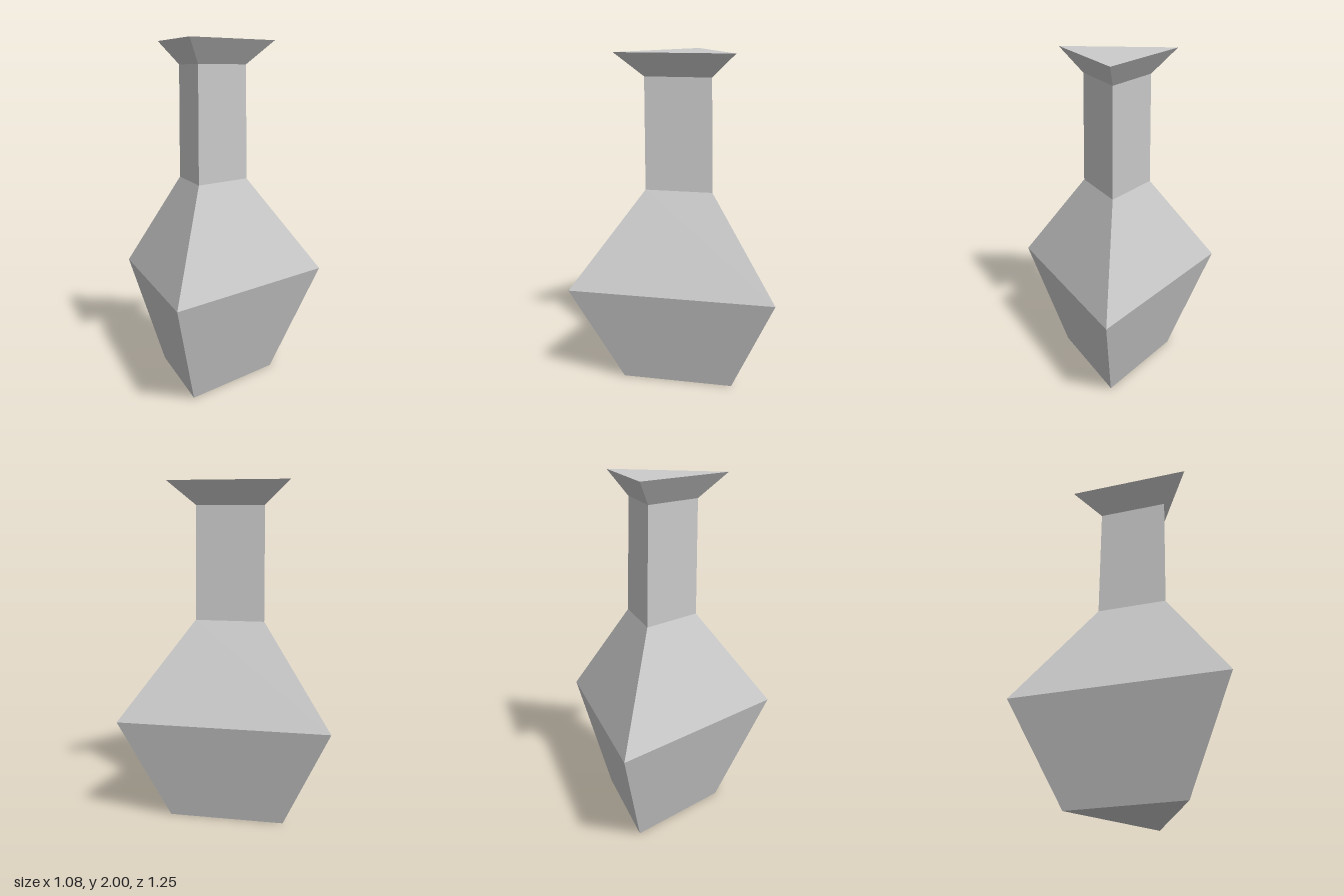
import * as THREE from 'three';

export function createModel() {
  const vase = new THREE.Group();
  vase.name = 'vase';
  const material = new THREE.MeshStandardMaterial({ color: 0xcccccc, flatShading: true });

  // Three-sided section turned from [radius, height] points, one corner towards +x
  function addSection(name, profile) {
    const points = profile.map(([r, y]) => new THREE.Vector2(r, y));
    const mesh = new THREE.Mesh(new THREE.LatheGeometry(points, 3, Math.PI / 2), material);
    mesh.name = name;
    mesh.position.x = -0.181; // axis offset that centres the triangle's bounds
    vase.add(mesh);
  }

  // Closed foot, wide belly and sloping shoulder
  addSection('body', [[0, 0], [0.395, 0], [0.723, 0.6], [0.237, 1.19]]);
  // Slightly tapered neck
  addSection('neck', [[0.237, 1.19], [0.233, 1.86]]);
  // Flared rim with a flat closed top
  addSection('rim', [[0.233, 1.86], [0.413, 2], [0, 2]]);

  return vase;
}
